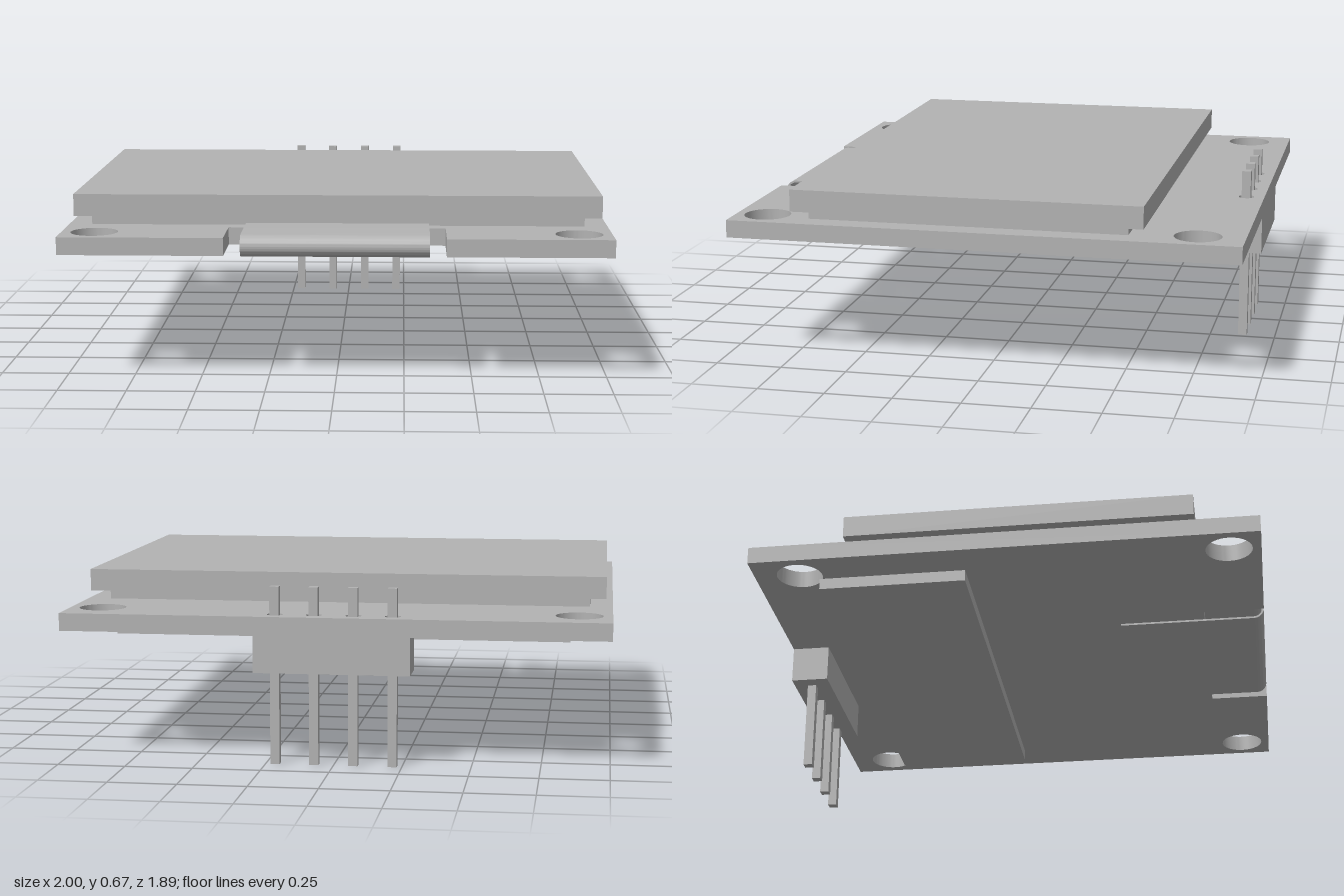
import * as THREE from 'three';
import { toCreasedNormals } from 'three/addons/utils/BufferGeometryUtils.js';

const grey = new THREE.MeshStandardMaterial({ color: 0xb2b2b2 });
grey.name = 'plain grey';

export function createModel() {
  const model = new THREE.Group();
  model.name = 'displayModule';

  const add = (name, geometry) => {
    const mesh = new THREE.Mesh(geometry, grey);
    mesh.name = name;
    model.add(mesh);
  };
  // Box given by its limits on each axis
  const box = (name, x0, x1, y0, y1, z0, z1) => {
    const g = new THREE.BoxGeometry(x1 - x0, y1 - y0, z1 - z0);
    g.translate((x0 + x1) / 2, (y0 + y1) / 2, (z0 + z1) / 2);
    add(name, g);
  };

  const pinX = [-0.215, -0.072, 0.072, 0.215];
  const pinZ = -0.874;
  const boardBottom = 0.485, boardTop = 0.55, edge = 0.943;

  // Circuit board with a notch at the front, drawn in (x, -z)
  const outline = new THREE.Shape([
    [-1, edge], [-1, -edge], [-0.4, -edge], [-0.4, -0.712],
    [0.4, -0.712], [0.4, -edge], [1, -edge], [1, edge],
  ].map(([x, y]) => new THREE.Vector2(x, y)));
  const hole = (x, z, r) => {
    outline.holes.push(new THREE.Path().absarc(x, -z, r, 0, Math.PI * 2, true));
  };
  for (const x of [-0.88, 0.88]) {
    hole(x, -0.773, 0.086);
    hole(x, 0.825, 0.086);
  }
  for (const x of pinX) hole(x, pinZ, 0.029);
  const board = new THREE.ExtrudeGeometry(outline, {
    depth: boardTop - boardBottom, bevelEnabled: false, curveSegments: 32,
  });
  board.rotateX(-Math.PI / 2).translate(0, boardBottom, 0);
  add('circuitBoard', toCreasedNormals(board, 0.6));

  // Screen glass on its backing, and the plate under the board
  box('screenBacking', -0.915, 0.915, boardTop, 0.588, -0.53, 0.655);
  box('screenGlass', -0.975, 0.975, 0.588, 0.67, -0.593, 0.705);
  box('undersidePlate', -0.848, 0.845, 0.442, boardBottom, -0.705, -0.153);

  // Ribbon cable folded round the notch, drawn in (z, y)
  const midY = 0.5175, outer = 0.04, inner = 0.0325, bendZ = edge - outer;
  const fold = new THREE.Shape();
  fold.moveTo(0.385, midY - outer);
  fold.lineTo(bendZ, midY - outer);
  fold.absarc(bendZ, midY, outer, -Math.PI / 2, Math.PI / 2, false);
  fold.lineTo(0.655, midY + outer);
  fold.lineTo(0.655, midY + inner);
  fold.lineTo(bendZ, midY + inner);
  fold.absarc(bendZ, midY, inner, Math.PI / 2, -Math.PI / 2, true);
  fold.lineTo(0.385, midY - inner);
  fold.closePath();
  const ribbon = new THREE.ExtrudeGeometry(fold, {
    depth: 0.68, bevelEnabled: false, curveSegments: 24,
  });
  ribbon.translate(0, 0, -0.34).rotateY(-Math.PI / 2);
  add('ribbonCable', toCreasedNormals(ribbon, 0.6));

  // Pin header under the back edge
  box('pinHeader', -0.285, 0.285, 0.345, boardBottom, -edge, -0.8);
  for (const x of pinX) {
    box('pin', x - 0.017, x + 0.017, 0, 0.653, pinZ - 0.017, pinZ + 0.017);
  }
  return model;
}
